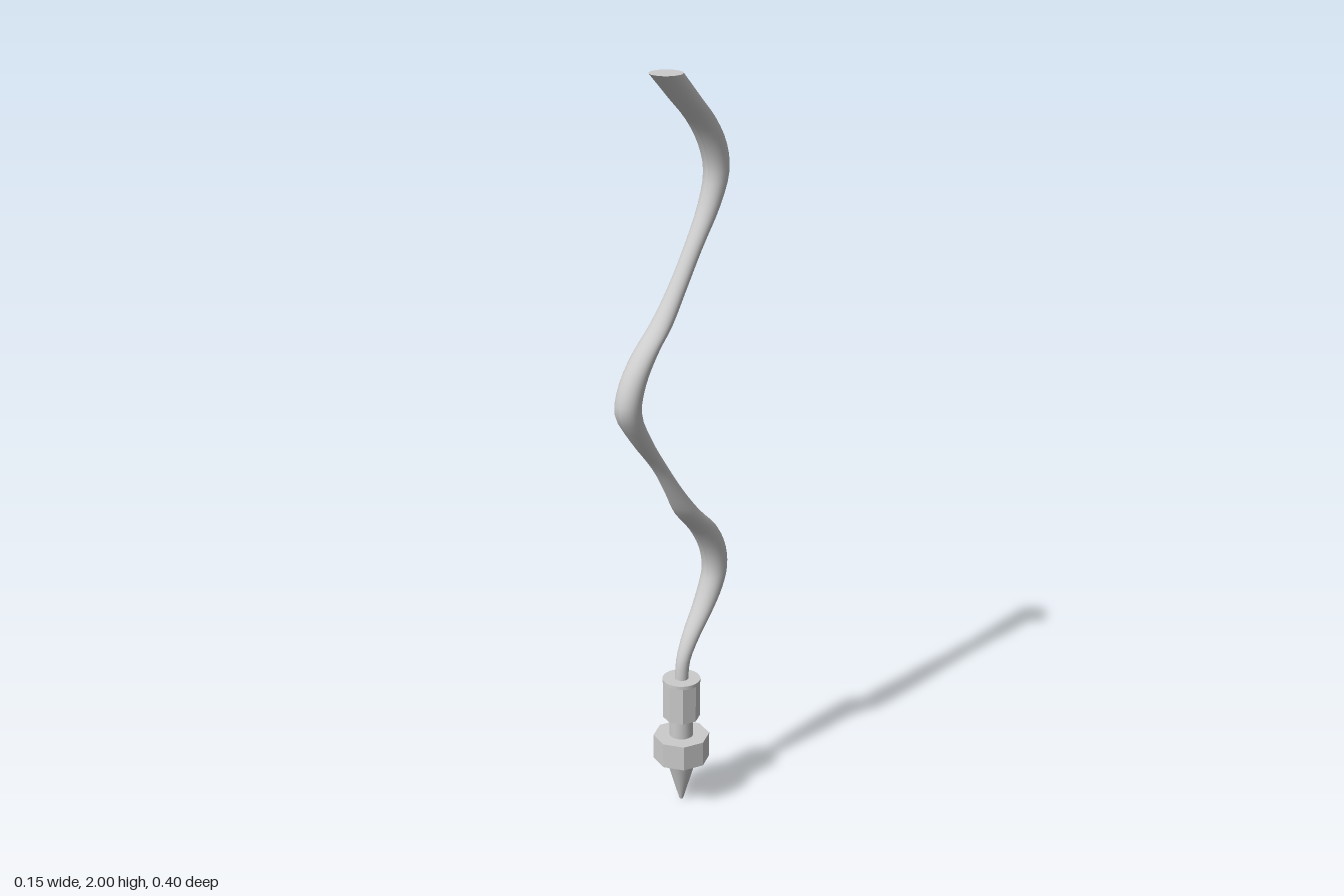
import * as THREE from 'three';

const FIT_Z = -0.03;

// Wavy tube made of horizontal rings: [y, x, z, radius] control rows
const ROWS = [
  [0.36, 0, -0.03, 0.018], [0.42, 0, -0.037, 0.019], [0.48, 0, -0.068, 0.024],
  [0.55, 0, -0.12, 0.03], [0.6, 0, -0.15, 0.033], [0.65, 0, -0.167, 0.034],
  [0.71, 0, -0.158, 0.036], [0.78, 0, -0.118, 0.038], [0.85, 0, -0.05, 0.034],
  [0.92, 0, 0.0, 0.025], [1.0, -0.003, 0.052, 0.021], [1.1, -0.006, 0.125, 0.028],
  [1.18, -0.007, 0.168, 0.034], [1.25, -0.006, 0.153, 0.034], [1.32, -0.004, 0.107, 0.032],
  [1.38, -0.003, 0.047, 0.029], [1.45, -0.002, -0.006, 0.025], [1.55, 0, -0.071, 0.024],
  [1.65, 0, -0.135, 0.029], [1.73, 0, -0.162, 0.033], [1.8, 0, -0.146, 0.036],
  [1.87, 0, -0.1, 0.038], [1.93, 0, -0.04, 0.04], [2, 0, 0.03, 0.042],
];

function wavyTube(material) {
  const path = new THREE.CatmullRomCurve3(ROWS.map(([y, x, z]) => new THREE.Vector3(x, y, z)));
  const radii = new THREE.CatmullRomCurve3(ROWS.map(([y, , , r]) => new THREE.Vector3(r, y, 0)));
  const rings = (ROWS.length - 1) * 3, sides = 24;
  const geometry = new THREE.CylinderGeometry(1, 1, 1, sides, rings, true);
  const pos = geometry.attributes.position;
  for (let i = 0; i < pos.count; i++) {
    const t = pos.getY(i) + 0.5;
    const c = path.getPoint(t), r = radii.getPoint(t).x;
    pos.setXYZ(i, c.x + pos.getX(i) * r, c.y, c.z + pos.getZ(i) * r);
  }
  geometry.computeVertexNormals();
  const mesh = new THREE.Mesh(geometry, material);
  mesh.name = 'wavyTube';
  return mesh;
}

export function createModel() {
  const group = new THREE.Group();
  const smooth = new THREE.MeshStandardMaterial({ color: 0xcccccc });
  const faceted = new THREE.MeshStandardMaterial({ color: 0xcccccc, flatShading: true });

  // Stacked part on the fitting's axis, between two heights
  function stack(name, y0, y1, r0, r1, sides, material) {
    const geometry = new THREE.CylinderGeometry(r1, r0, y1 - y0, sides);
    // put a corner of the polygon on the x axis
    geometry.rotateY(Math.PI / 2);
    const mesh = new THREE.Mesh(geometry, material);
    mesh.name = name;
    mesh.position.set(0, (y0 + y1) / 2, FIT_Z);
    group.add(mesh);
  }

  // Pointed fitting at the foot
  stack('tipCone', 0, 0.13, 0.005, 0.043, 24, smooth);
  stack('largeNut', 0.13, 0.2, 0.076, 0.076, 8, faceted);
  stack('neck', 0.2, 0.26, 0.032, 0.032, 24, smooth);
  stack('smallNut', 0.255, 0.36, 0.05, 0.05, 8, faceted);
  stack('collar', 0.36, 0.37, 0.051, 0.051, 24, smooth);

  // Tube with its flat top end
  group.add(wavyTube(smooth));
  const cap = new THREE.Mesh(new THREE.CircleGeometry(0.042, 24).rotateX(-Math.PI / 2), smooth);
  cap.name = 'tubeEnd';
  cap.position.set(0, 2, 0.03);
  group.add(cap);

  return group;
}
